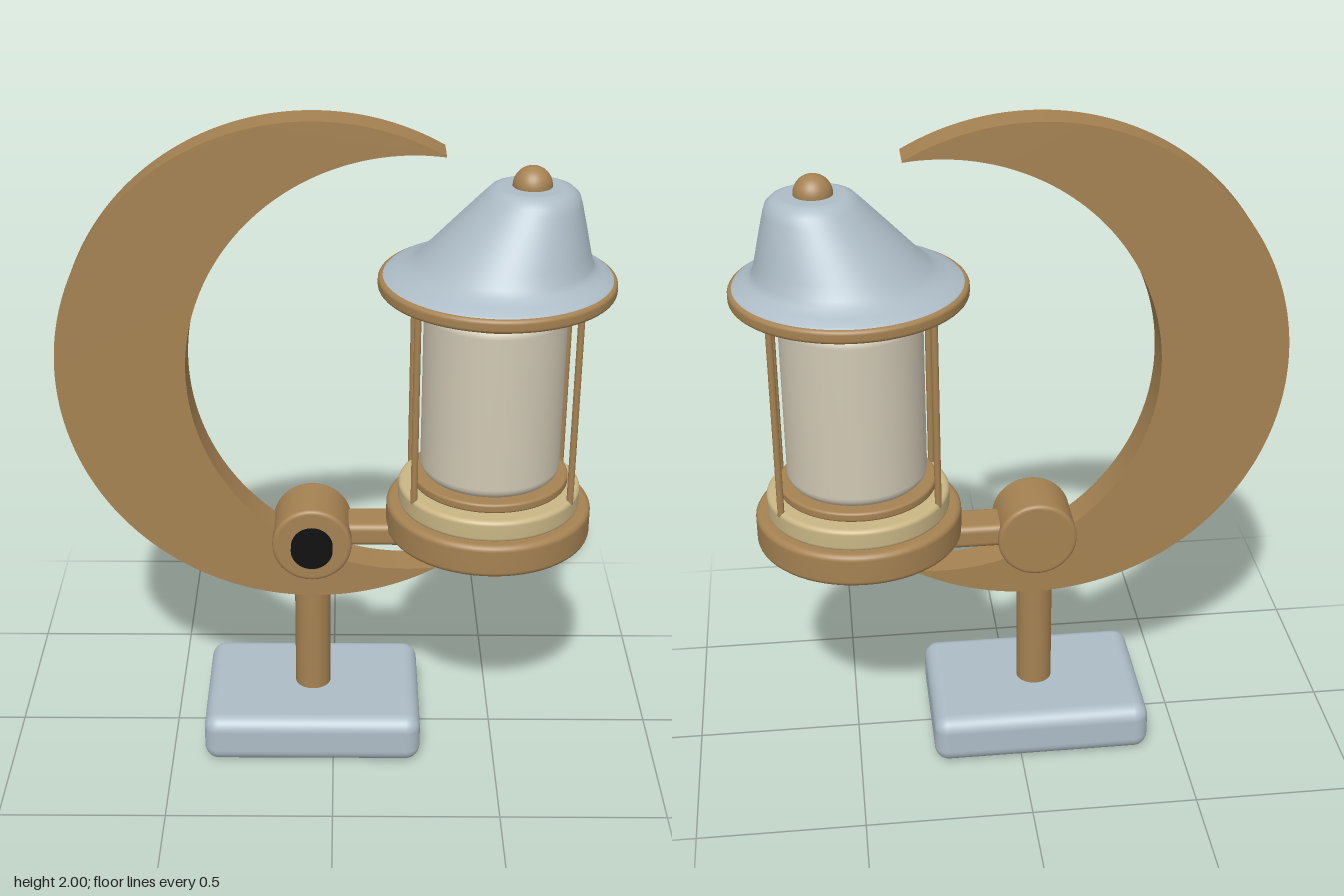
import * as THREE from 'three';
import { RoundedBoxGeometry } from 'three/addons/geometries/RoundedBoxGeometry.js';

const mat = (name, color) => {
  const m = new THREE.MeshStandardMaterial({ color });
  m.name = name;
  return m;
};

// Solid disc of revolution with rounded rims, standing between y0 and y1
function roundedDisc(r, y0, y1, bevel, segments = 64) {
  const pts = [new THREE.Vector2(0, y0), new THREE.Vector2(r - bevel - 0.002, y0)];
  for (const [cy, start] of [[y0 + bevel, -Math.PI / 2], [y1 - bevel, 0]]) {
    for (let i = 0; i <= 5; i++) {
      const a = start + (i / 5) * Math.PI / 2;
      pts.push(new THREE.Vector2(r - bevel + Math.cos(a) * bevel, cy + Math.sin(a) * bevel));
    }
  }
  pts.push(new THREE.Vector2(r - bevel - 0.002, y1), new THREE.Vector2(0, y1));
  return new THREE.LatheGeometry(pts, segments);
}

export function createModel() {
  const brass = mat('brass', 0xa58252);
  const slate = mat('blue grey', 0xadbcc6);
  const cream = mat('cream', 0xc9b685);
  const glass = mat('frosted glass', 0xd0c8b4);
  const black = mat('black', 0x101010);

  const model = new THREE.Group();
  model.name = 'moonLantern';
  const add = (parent, name, geometry, material, x = 0, y = 0, z = 0) => {
    const mesh = new THREE.Mesh(geometry, material);
    mesh.name = name;
    mesh.position.set(x, y, z);
    parent.add(mesh);
    return mesh;
  };

  // Base and post
  const postX = -0.065;
  add(model, 'base', new RoundedBoxGeometry(0.67, 0.155, 0.48, 5, 0.045), slate, postX, 0.0775, 0);
  add(model, 'post', new THREE.CylinderGeometry(0.055, 0.055, 0.5, 32), brass, postX, 0.4, 0);

  // Crescent: outer circle cut by an offset inner circle
  const moon = new THREE.Shape();
  moon.absarc(-0.06, 1.25, 0.75, 1.053, 2 * Math.PI - 1.053, false);
  moon.absarc(0.225, 1.25, 0.655, 2 * Math.PI - 1.44, 1.44, true);
  const moonGeo = new THREE.ExtrudeGeometry(moon, { depth: 0.11, bevelEnabled: false, curveSegments: 96 });
  add(model, 'crescent', moonGeo, brass, 0, 0, -0.055);

  // Pivot hub with dark cap, arm and screw
  const hub = add(model, 'hub', roundedDisc(0.12, -0.088, 0.103, 0.012), brass, postX, 0.70, 0);
  hub.rotation.x = Math.PI / 2;
  const cap = add(model, 'hubCap', new THREE.CylinderGeometry(0.063, 0.063, 0.04, 40), black, postX, 0.70, 0.11);
  cap.rotation.x = Math.PI / 2;
  add(model, 'arm', new RoundedBoxGeometry(0.52, 0.073, 0.125, 4, 0.02), brass, 0.23, 0.709, -0.005);
  const screw = add(model, 'armScrew', new THREE.CylinderGeometry(0.03, 0.03, 0.04, 24), brass, 0.31, 0.708, 0.07);
  screw.rotation.x = Math.PI / 2;

  // Lantern body
  const lantern = new THREE.Group();
  lantern.name = 'lantern';
  lantern.position.x = 0.468;
  model.add(lantern);
  add(lantern, 'lanternFoot', roundedDisc(0.308, 0.712, 0.815, 0.018), brass);
  add(lantern, 'creamCollar', roundedDisc(0.273, 0.81, 0.878, 0.014), cream);
  add(lantern, 'lowerStem', new THREE.CylinderGeometry(0.045, 0.045, 0.03, 24), brass, 0, 0.88, 0);
  add(lantern, 'lowerRing', roundedDisc(0.235, 0.886, 0.915, 0.008), brass);
  add(lantern, 'glassCylinder', roundedDisc(0.208, 0.912, 1.455, 0.035), glass);
  add(lantern, 'upperRing', roundedDisc(0.235, 1.45, 1.48, 0.008), brass);
  add(lantern, 'upperStem', new THREE.CylinderGeometry(0.055, 0.055, 0.03, 24), brass, 0, 1.487, 0);

  // Four guard rods
  for (const sx of [-1, 1]) for (const sz of [-1, 1]) {
    add(lantern, 'guardRod', new THREE.CylinderGeometry(0.01, 0.01, 0.64, 12), brass, sx * 0.23, 1.185, sz * 0.132);
  }

  // Roof rim, then a bell roof whose crown leans toward +x
  add(lantern, 'roofRim', roundedDisc(0.342, 1.495, 1.535, 0.012), brass);
  const profile = [
    [0.333, 1.53], [0.325, 1.54], [0.295, 1.552], [0.268, 1.566], [0.25, 1.584], [0.228, 1.62],
    [0.19, 1.685], [0.15, 1.752], [0.134, 1.777], [0.118, 1.793], [0.1, 1.8], [0.09, 1.801], [0, 1.802],
  ].map(([r, y]) => new THREE.Vector2(r, y));
  const roofGeo = new THREE.LatheGeometry(profile, 72);
  const pos = roofGeo.attributes.position;
  const lean = (y) => 0.088 * Math.min(1, Math.max(0, (y - 1.535) / 0.24));
  for (let i = 0; i < pos.count; i++) pos.setX(i, pos.getX(i) + lean(pos.getY(i)));
  // Average the normals at the seam after the lean
  roofGeo.computeVertexNormals();
  const nor = roofGeo.attributes.normal;
  const n = profile.length;
  const a = new THREE.Vector3(), b = new THREE.Vector3();
  for (let j = 0; j < n; j++) {
    const k = 72 * n + j;
    a.fromBufferAttribute(nor, j).add(b.fromBufferAttribute(nor, k)).normalize();
    nor.setXYZ(j, a.x, a.y, a.z);
    nor.setXYZ(k, a.x, a.y, a.z);
  }
  add(lantern, 'roof', roofGeo, slate);
  add(lantern, 'roofKnob', new THREE.SphereGeometry(0.056, 32, 20), brass, 0.087, 1.803, 0);

  return model;
}
